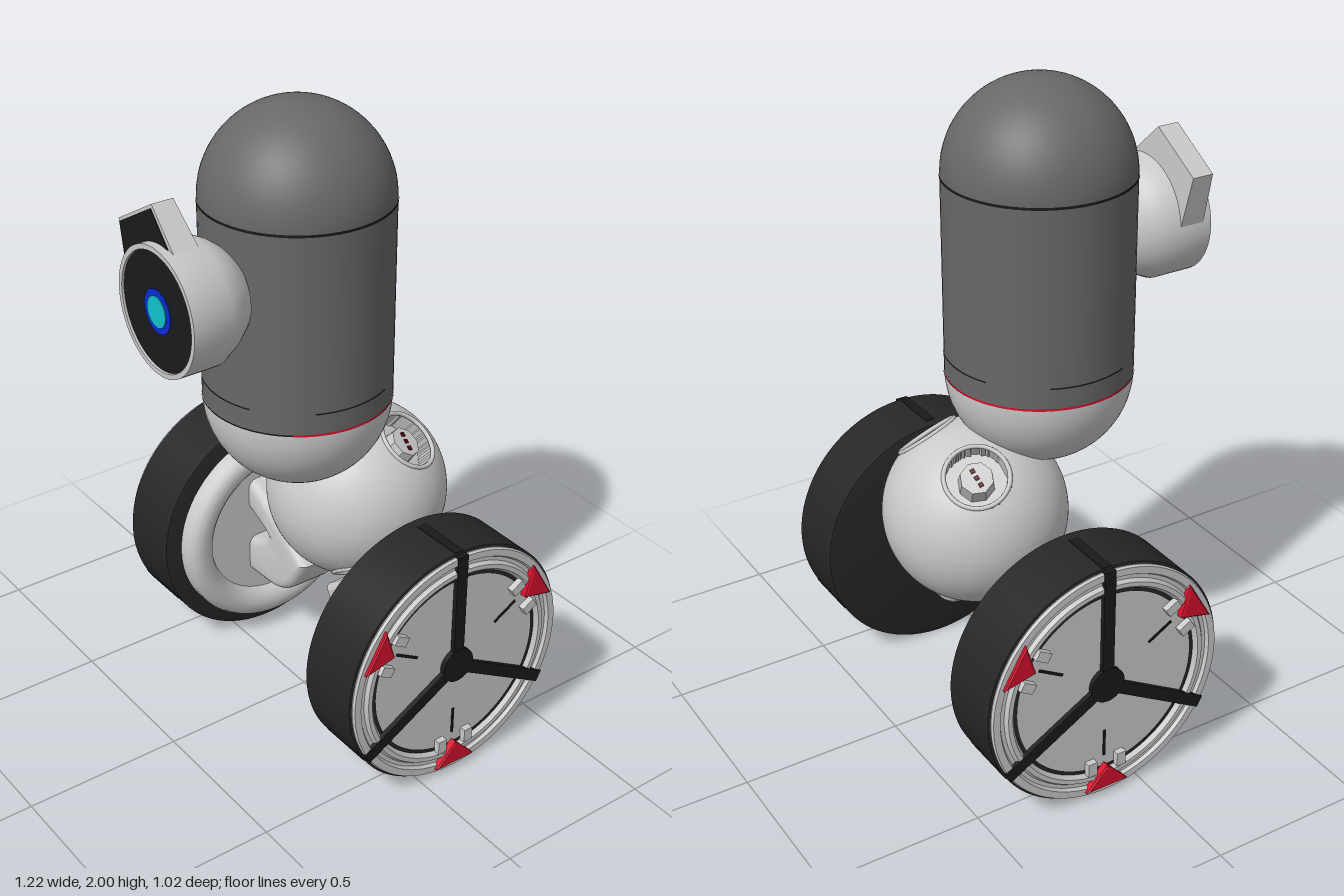
import * as THREE from 'three';
import { toCreasedNormals } from 'three/addons/utils/BufferGeometryUtils.js';

const mat = (name, color, side = THREE.FrontSide) => {
  const m = new THREE.MeshStandardMaterial({ color, side });
  m.name = name;
  return m;
};

export function createModel() {
  const shell = mat('dark grey shell', 0x686868, THREE.DoubleSide);
  const light = mat('light grey', 0xcacaca);
  const rubber = mat('tyre rubber', 0x262626);
  const black = mat('black', 0x1a1a1a);
  const red = mat('red', 0xd5102c);
  const maroon = mat('dark red', 0x5a0810);
  const blue = mat('blue', 0x0a2cd8);
  const cyan = mat('cyan', 0x10c4cc);

  const model = new THREE.Group();
  const add = (parent, name, geo, material, x = 0, y = 0, z = 0) => {
    const m = new THREE.Mesh(geo, material);
    m.name = name;
    m.position.set(x, y, z);
    parent.add(m);
    return m;
  };
  const group = (parent, name, x = 0, y = 0, z = 0) => {
    const g = new THREE.Group();
    g.name = name;
    g.position.set(x, y, z);
    parent.add(g);
    return g;
  };
  // Turned part from [radius, height] pairs
  const turned = (pts, seg = 64) =>
    toCreasedNormals(new THREE.LatheGeometry(pts.map(p => new THREE.Vector2(...p)), seg), 0.6);
  const outline = pts => new THREE.Shape(pts.map(p => new THREE.Vector2(...p)));

  // ---- Capsule body ----
  const R = 0.28, body = group(model, 'body', 0.01, 0, 0.03);
  add(body, 'bodyDome', new THREE.SphereGeometry(R, 64, 24, 0, Math.PI * 2, 0, Math.PI / 2), shell, 0, 1.72);
  add(body, 'bodyTube', new THREE.CylinderGeometry(R, R, 0.61, 64, 1, true), shell, 0, 1.415);
  add(body, 'bodyBase', new THREE.SphereGeometry(R, 64, 24, 0, Math.PI * 2, Math.PI / 2, Math.PI / 2), light, 0, 1.11);
  // Thin seam lines; start and sweep are angles measured from the front
  const seam = (name, y, material, start, sweep, h) =>
    add(body, name, new THREE.CylinderGeometry(R + 0.002, R + 0.002, h, 64, 1, true, start, sweep), material, 0, y);
  seam('domeSeam', 1.72, black, 0, Math.PI * 2, 0.008);
  seam('baseSeamRed', 1.11, red, 0.9, Math.PI * 2 - 1.8, 0.007);
  seam('baseSeamDark', 1.11, black, -0.9, 1.8, 0.005);
  for (let i = 0; i < 4; i++) seam('panelSlit', 1.177, black, i * Math.PI / 2 - 0.45, 0.9, 0.005);

  // ---- Camera head ----
  const eye = group(model, 'cameraHead', 0.025, 1.505, 0);
  add(eye, 'cameraHousing', turned([[0.001, 0.25], [0.08, 0.265], [0.13, 0.288], [0.165, 0.335], [0.19, 0.385],
    [0.19, 0.51], [0.175, 0.51], [0.175, 0.5], [0.001, 0.5]]).rotateX(Math.PI / 2), light);
  const disc = (name, r, z, material) =>
    add(eye, name, new THREE.CylinderGeometry(r, r, 0.004, 48).rotateX(Math.PI / 2), material, 0, 0, z);
  disc('cameraFace', 0.174, 0.501, black);
  disc('lensRing', 0.065, 0.504, blue);
  disc('lens', 0.046, 0.507, cyan);
  // Angular visor that gets thinner towards its peak
  const visor = (pts, z0, depth) => {
    const g = new THREE.ExtrudeGeometry(outline(pts), { depth, bevelEnabled: false });
    const p = g.attributes.position;
    for (let i = 0; i < p.count; i++) {
      const z = p.getZ(i) + z0, t = Math.hypot(p.getX(i), p.getY(i)) / 0.3;
      p.setZ(i, 0.442 + z * (1.5 - 0.5 * t));
    }
    g.computeVertexNormals();
    return g;
  };
  add(eye, 'visor', visor([[-0.18, -0.01], [-0.23, 0.185], [-0.055, 0.287], [0.09, 0.15]], -0.034, 0.068), light);
  add(eye, 'visorFace', visor([[-0.173, 0.0], [-0.22, 0.18], [-0.056, 0.275], [0.07, 0.15]], 0.0345, 0.003), black);

  // ---- Hip sphere with four sunken sockets ----
  const hip = group(model, 'hip', 0.01, 0.69, -0.195);
  const sockets = [];
  for (const s of [1, -1]) for (const v of [1, -1])
    sockets.push(new THREE.Vector3(0.15 * s, 0.21 * v, -0.08 * v).normalize());
  const ball = new THREE.SphereGeometry(R, 144, 112);
  const pos = ball.attributes.position, rimAngle = 0.35, floor = 0.2, q = new THREE.Vector3();
  for (let i = 0; i < pos.count; i++) {
    q.fromBufferAttribute(pos, i);
    for (const d of sockets)
      if (q.angleTo(d) < rimAngle) q.addScaledVector(d, floor - q.dot(d));
    pos.setXYZ(i, q.x, q.y, q.z);
  }
  add(hip, 'hipBall', toCreasedNormals(ball, 0.5), light);
  for (const d of sockets) {
    const g = group(hip, 'socket');
    g.quaternion.setFromUnitVectors(new THREE.Vector3(0, 1, 0), d);
    add(g, 'socketRim', new THREE.TorusGeometry(R * Math.sin(rimAngle), 0.007, 8, 48).rotateX(Math.PI / 2),
      light, 0, R * Math.cos(rimAngle), 0);
    add(g, 'socketPlug', toCreasedNormals(new THREE.CylinderGeometry(0.05, 0.056, 0.06, 8), 0.4), light, 0, 0.225, 0);
    for (const k of [-1, 0, 1])
      add(g, 'plugPin', new THREE.BoxGeometry(0.013, 0.006, 0.013), maroon, k * 0.024, 0.256, 0);
  }

  // ---- Legs: forked arms, outline in the front plane ----
  const fork = new THREE.Shape();
  fork.moveTo(0.055, 0.4);
  fork.lineTo(0.09, 0.34);
  fork.quadraticCurveTo(0.14, 0.24, 0.24, 0.235);
  fork.lineTo(0.4, 0.23);
  fork.lineTo(0.4, 0.36);
  fork.quadraticCurveTo(0.3, 0.365, 0.25, 0.42);
  fork.quadraticCurveTo(0.3, 0.45, 0.4, 0.49);
  fork.lineTo(0.4, 0.6);
  fork.quadraticCurveTo(0.33, 0.59, 0.2, 0.505);
  fork.closePath();
  const forkGeo = toCreasedNormals(new THREE.ExtrudeGeometry(fork, {
    depth: 0.12, bevelThickness: 0.03, bevelSize: 0.03, bevelOffset: -0.03, bevelSegments: 4, curveSegments: 10
  }), 0.7).translate(0, 0, -0.06);

  // ---- Wheels ----
  const axial = g => g.rotateZ(-Math.PI / 2);
  const tyreGeo = axial(turned([[0.001, 0.375], [0.375, 0.375], [0.39, 0.38], [0.39, 0.585], [0.37, 0.59], [0.001, 0.58]], 96));
  const coverGeo = axial(turned([[0.38, 0.58], [0.384, 0.592], [0.38, 0.6], [0.358, 0.6], [0.352, 0.59], [0.34, 0.59],
    [0.332, 0.601], [0.318, 0.601], [0.308, 0.588], [0.001, 0.588]], 96));
  const fin = new THREE.ExtrudeGeometry(outline([[0, 0.285], [0.072, 0.362], [-0.072, 0.362]]), {
    depth: 0.02, bevelThickness: 0.004, bevelSize: 0.006, bevelOffset: -0.006, bevelSegments: 1
  }).rotateY(Math.PI / 2);

  for (const side of [1, -1]) {
    const name = side > 0 ? 'left' : 'right';
    const unit = group(model, name + 'LegAndWheel', 0, 0, -0.122);
    unit.rotation.y = side > 0 ? 0 : Math.PI;
    add(unit, 'leg', forkGeo, light);
    const wheel = group(unit, 'wheel', 0, 0.392, 0);
    add(wheel, 'tyre', tyreGeo, rubber);
    add(wheel, 'wheelCover', coverGeo, light);
    add(wheel, 'hubCap', axial(new THREE.CylinderGeometry(0.056, 0.056, 0.02, 24)), black, 0.594, 0, 0);
    for (let i = 0; i < 3; i++) {
      const spoke = group(wheel, 'spoke');
      spoke.rotation.x = i * Math.PI * 2 / 3;
      add(spoke, 'spokeBar', new THREE.BoxGeometry(0.016, 0.35, 0.038), black, 0.595, 0.21, 0);
      add(spoke, 'treadSlot', new THREE.BoxGeometry(0.17, 0.006, 0.03), black, 0.498, 0.389, 0);
      // Red fins sit midway between the spokes
      const marker = group(wheel, 'marker');
      marker.rotation.x = (i + 0.5) * Math.PI * 2 / 3;
      add(marker, 'redFin', fin, red, 0.588, 0, 0);
      add(marker, 'coverSlit', new THREE.BoxGeometry(0.004, 0.09, 0.008), black, 0.589, 0.215, 0);
      for (const k of [-1, 1])
        add(marker, 'coverLug', new THREE.BoxGeometry(0.022, 0.045, 0.03), light, 0.597, 0.283, k * 0.05);
    }
    // Only the right wheel carries the dished inner hub
    if (side < 0)
      add(wheel, 'innerHub', axial(turned([[0.001, 0.345], [0.24, 0.345], [0.25, 0.325], [0.265, 0.312], [0.285, 0.305],
        [0.31, 0.307], [0.328, 0.318], [0.336, 0.335], [0.336, 0.38]])), light);
  }
  return model;
}
